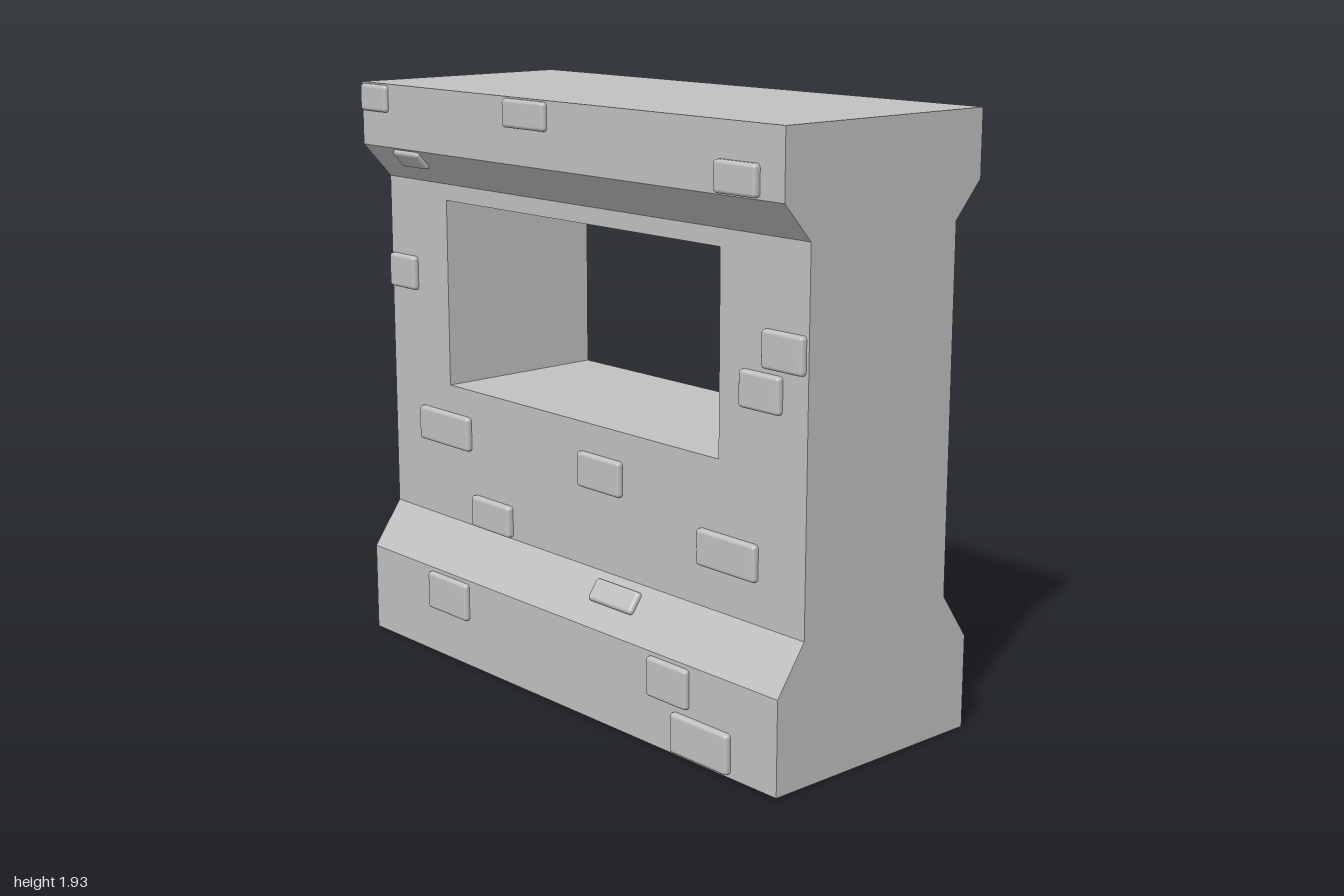
import * as THREE from 'three';
import { RoundedBoxGeometry } from 'three/addons/geometries/RoundedBoxGeometry.js';

const WALL = 0.305, LEDGE = 0.41; // half depths of the wall and its ledges

// Extrude a (z, y) profile along the full width in x
function extrudeAcross(points) {
  const shape = new THREE.Shape(points.map(([z, y]) => new THREE.Vector2(-z, y)));
  const geo = new THREE.ExtrudeGeometry(shape, { depth: 2, bevelEnabled: false });
  geo.translate(0, 0, -1);
  geo.rotateY(Math.PI / 2);
  return geo;
}

export function createModel() {
  const group = new THREE.Group();
  const stone = new THREE.MeshStandardMaterial({ color: 0xc0c0c0 });
  stone.name = 'grey stone';

  function add(name, geo) {
    const mesh = new THREE.Mesh(geo, stone);
    mesh.name = name;
    group.add(mesh);
    return mesh;
  }

  // Plinth and cornice with sloped shoulders
  add('base', extrudeAcross([
    [-LEDGE, 0], [LEDGE, 0], [LEDGE, 0.3], [WALL, 0.45], [-WALL, 0.45], [-LEDGE, 0.3],
  ]));
  add('cornice', extrudeAcross([
    [-WALL, 1.605], [WALL, 1.605], [LEDGE, 1.72], [LEDGE, 1.93], [-LEDGE, 1.93], [-LEDGE, 1.72],
  ]));

  // Wall with the window opening
  const wall = new THREE.Shape([[-1, 0.45], [1, 0.45], [1, 1.605], [-1, 1.605]].map(p => new THREE.Vector2(...p)));
  wall.holes.push(new THREE.Path([[-0.68, 0.92], [-0.68, 1.55], [0.64, 1.55], [0.64, 0.92]].map(p => new THREE.Vector2(...p))));
  const wallGeo = new THREE.ExtrudeGeometry(wall, { depth: 2 * WALL, bevelEnabled: false });
  wallGeo.translate(0, 0, -WALL);
  add('wall', wallGeo);

  // Raised bricks, the same on front and back: x0, x1, y0, y1, surface z, tilt, protrusion
  const bricks = [
    [-0.995, -0.85, 1.835, 1.925, LEDGE, 0, 0.015],
    [-0.22, -0.015, 1.835, 1.925, LEDGE, 0, 0.018],
    [0.735, 0.905, 1.725, 1.82, LEDGE, 0, 0.022],
    [-0.835, -0.695, 1.652, 1.725, 0.38, 0.74, 0.015],
    [-0.995, -0.85, 1.225, 1.34, WALL, 0, 0.02],
    [0.825, 0.99, 1.225, 1.34, WALL, 0, 0.02],
    [0.735, 0.9, 1.097, 1.21, WALL, 0, 0.02],
    [-0.84, -0.565, 0.708, 0.825, WALL, 0, 0.02],
    [0.005, 0.21, 0.71, 0.825, WALL, 0, 0.02],
    [0.56, 0.81, 0.58, 0.695, WALL, 0, 0.02],
    [-0.55, -0.345, 0.455, 0.562, WALL, 0, 0.022],
    [0.115, 0.32, 0.36, 0.435, 0.342, -0.61, 0.016],
    [-0.67, -0.455, 0.158, 0.287, LEDGE, 0, 0.018],
    [0.45, 0.63, 0.16, 0.287, LEDGE, 0, 0.018],
    [0.56, 0.81, 0.01, 0.138, LEDGE, 0, 0.02],
  ];
  for (const [x0, x1, y0, y1, z, tilt, out] of bricks) {
    const geo = new RoundedBoxGeometry(x1 - x0, y1 - y0, 2 * out, 3, 0.012);
    for (const side of [1, -1]) {
      const brick = add(side > 0 ? 'frontBrick' : 'backBrick', geo);
      brick.position.set((x0 + x1) / 2, (y0 + y1) / 2, side * z);
      brick.rotation.x = side * tilt;
    }
  }
  return group;
}
